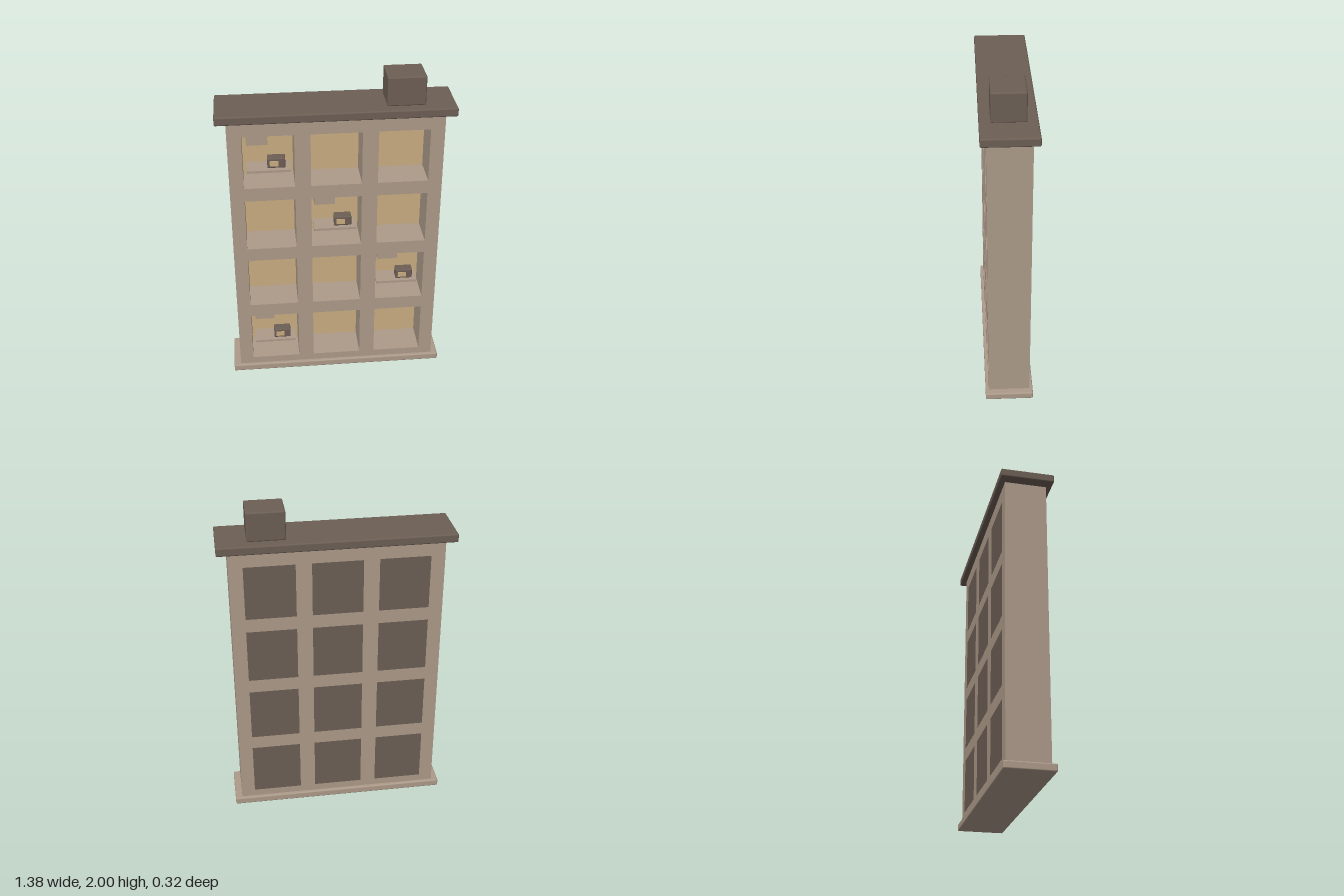
import * as THREE from 'three';
import { RoundedBoxGeometry } from 'three/addons/geometries/RoundedBoxGeometry.js';

const wall = new THREE.MeshStandardMaterial({ color: 0xad9b8a });
wall.name = 'wall';
const tan = new THREE.MeshStandardMaterial({ color: 0xcaae82 });
tan.name = 'warmTan';
const dark = new THREE.MeshStandardMaterial({ color: 0x6d5f55 });
dark.name = 'darkBrown';

// Box given by its limits on each axis; radius > 0 softens the edges
function box(parent, name, material, [x0, x1], [y0, y1], [z0, z1], radius = 0) {
  const size = [x1 - x0, y1 - y0, z1 - z0];
  const geometry = radius
    ? new RoundedBoxGeometry(...size, 2, radius)
    : new THREE.BoxGeometry(...size);
  const mesh = new THREE.Mesh(geometry, material);
  mesh.name = name;
  mesh.position.set((x0 + x1) / 2, (y0 + y1) / 2, (z0 + z1) / 2);
  parent.add(mesh);
  return mesh;
}

function rectangle(path, x0, y0, x1, y1) {
  path.moveTo(x0, y0);
  path.lineTo(x1, y0);
  path.lineTo(x1, y1);
  path.lineTo(x0, y1);
  path.closePath();
  return path;
}

// Room grid
const COLUMNS = [-0.394, 0, 0.394];
const ROWS = [0.09, 0.51, 0.93, 1.35];
const HALF_WIDTH = 0.15;
const HEIGHT = 0.335;
const FURNISHED = ['0,0', '2,1', '1,2', '0,3']; // column,row

// Shelf, small set with a screen, and hanging cupboard
function furniture() {
  const group = new THREE.Group();
  group.name = 'roomFurniture';
  box(group, 'shelf', wall, [-0.13, 0.13], [0.055, 0.07], [-0.08, 0.042]);
  box(group, 'smallSet', dark, [-0.006, 0.1], [0.08, 0.142], [-0.03, 0.033], 0.006);
  box(group, 'screen', tan, [0.008, 0.06], [0.093, 0.127], [0.03, 0.036]);
  box(group, 'cupboard', wall, [-0.125, 0], [0.225, 0.303], [-0.045, 0.015]);
  return group;
}

export function createModel() {
  const model = new THREE.Group();
  model.name = 'apartmentBlock';

  // Facade block with a through opening for every room
  const outline = rectangle(new THREE.Shape(), -0.627, 0.04, 0.627, 1.78);
  for (const x of COLUMNS) {
    for (const y of ROWS) {
      outline.holes.push(rectangle(new THREE.Path(), x - HALF_WIDTH, y, x + HALF_WIDTH, y + HEIGHT));
    }
  }
  const body = new THREE.Mesh(
    new THREE.ExtrudeGeometry(outline, { depth: 0.25, bevelEnabled: false }), wall);
  body.name = 'buildingFrame';
  body.position.z = -0.125;
  model.add(body);

  // Rooms: dark rear panel, tan back wall, furniture in some
  COLUMNS.forEach((x, column) => ROWS.forEach((y, row) => {
    const room = new THREE.Group();
    room.name = 'room';
    room.position.set(x, y, 0);
    const width = [-HALF_WIDTH, HALF_WIDTH];
    box(room, 'rearPanel', dark, width, [0, HEIGHT], [-0.1255, -0.085]);
    box(room, 'roomBackWall', tan, width, [0, HEIGHT], [-0.085, -0.08]);
    if (FURNISHED.includes(`${column},${row}`)) room.add(furniture());
    model.add(room);
  }));

  // Plinth, roof slab and chimney
  box(model, 'plinth', wall, [-0.67, 0.67], [0, 0.045], [-0.145, 0.145], 0.008);
  box(model, 'roofSlab', dark, [-0.69, 0.69], [1.775, 1.826], [-0.16, 0.16], 0.008);
  box(model, 'chimney', dark, [0.29, 0.513], [1.826, 2], [-0.098, 0.098], 0.008);

  return model;
}
